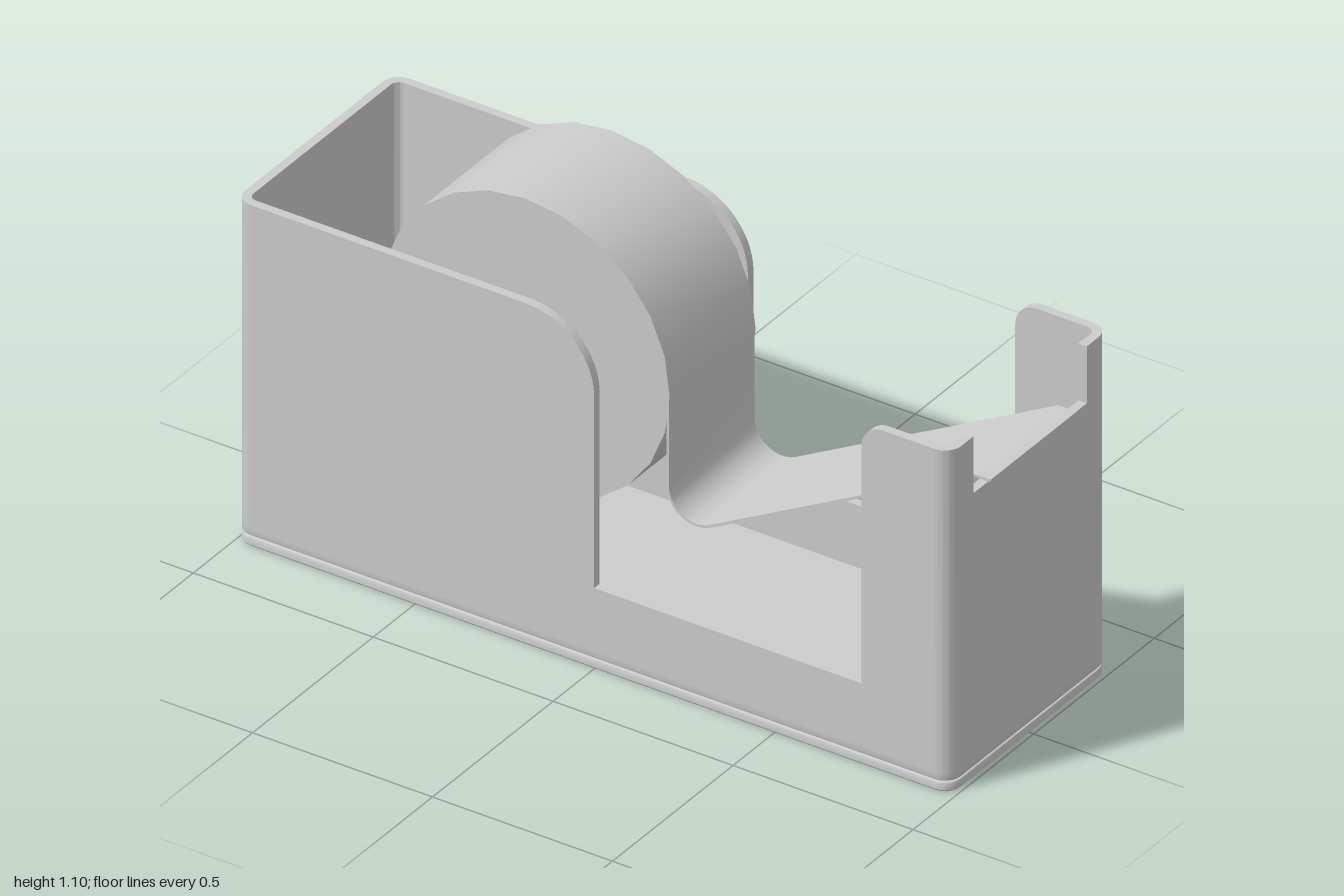
import * as THREE from 'three';
import { toCreasedNormals } from 'three/addons/utils/BufferGeometryUtils.js';

const X0 = -1, X1 = 0.99, ZH = 0.33; // body footprint
const H = 0.93, FLOOR = 0.05, T = 0.023, R = 0.045; // height, floor, wall, corner radius
const material = new THREE.MeshStandardMaterial({ color: 0xcccccc, side: THREE.DoubleSide });

function addMesh(parent, name, geometry, crease = 0.6) {
  const mesh = new THREE.Mesh(toCreasedNormals(geometry, crease), material);
  mesh.name = name;
  parent.add(mesh);
  return mesh;
}

// Solid made of stacked rounded rectangles; layers are [height, inset]
function slab(layers) {
  const steps = 6, cx = (X0 + X1) / 2, hx = (X1 - X0) / 2;
  const signs = [[1, 1], [-1, 1], [-1, -1], [1, -1]];
  const n = 4 * (steps + 1), pos = [], index = [];
  for (const [y, inset] of layers) {
    signs.forEach(([sx, sz], q) => {
      for (let i = 0; i <= steps; i++) {
        const a = (q + i / steps) * Math.PI / 2, r = R - inset;
        pos.push(cx + sx * (hx - R) + r * Math.cos(a), y, -(sz * (ZH - R) + r * Math.sin(a)));
      }
    });
  }
  const last = layers.length - 1;
  for (let k = 0; k < last; k++) {
    for (let i = 0; i < n; i++) {
      const a = k * n + i, b = k * n + (i + 1) % n;
      index.push(a, b, b + n, a, b + n, a + n);
    }
  }
  const bottom = pos.length / 3, top = bottom + 1;
  pos.push(cx, layers[0][0], 0, cx, layers[last][0], 0);
  for (let i = 0; i < n; i++) {
    const j = (i + 1) % n;
    index.push(bottom, j, i, top, last * n + i, last * n + j);
  }
  const g = new THREE.BufferGeometry();
  g.setAttribute('position', new THREE.Float32BufferAttribute(pos, 3));
  g.setIndex(index);
  return g;
}

// Side wall outline with the cut-out in front of the roll
function sideWall() {
  const s = new THREE.Shape();
  s.moveTo(X0 + R, FLOOR);
  s.lineTo(X1 - R, FLOOR);
  s.lineTo(X1 - R, H);
  s.lineTo(0.805, H);
  s.absarc(0.805, H - 0.062, 0.062, Math.PI / 2, Math.PI, false);
  s.lineTo(0.743, 0.22);
  s.lineTo(0, 0.22);
  s.lineTo(0, H - 0.19);
  s.absarc(-0.19, H - 0.19, 0.19, 0, Math.PI / 2, false);
  s.lineTo(X0 + R, H);
  return new THREE.ExtrudeGeometry(s, { depth: T, bevelEnabled: false, curveSegments: 10 });
}

// End wall with a slot in its top edge for the strip
function slottedWall() {
  const w = ZH - R, slot = 0.235, y = 0.775;
  const s = new THREE.Shape([[-w, FLOOR], [w, FLOOR], [w, H], [slot, H], [slot, y],
    [-slot, y], [-slot, H], [-w, H]].map(([a, b]) => new THREE.Vector2(a, b)));
  return new THREE.ExtrudeGeometry(s, { depth: T, bevelEnabled: false }).rotateY(Math.PI / 2);
}

// Upright quarter-round corner starting at angle a
function corner(a) {
  const s = new THREE.Shape();
  s.absarc(0, 0, R, a, a + Math.PI / 2, false);
  s.absarc(0, 0, R - T, a + Math.PI / 2, a, true);
  return new THREE.ExtrudeGeometry(s, { depth: H - FLOOR, bevelEnabled: false, curveSegments: 6 })
    .rotateX(-Math.PI / 2);
}

// Thin band following a path in the xy plane
function band(points, thickness, width) {
  const sides = [1, -1].map((sign) => points.map((p, i) => {
    const d = points[Math.min(i + 1, points.length - 1)].clone().sub(points[Math.max(i - 1, 0)]).normalize();
    return new THREE.Vector2(p.x - d.y * sign * thickness / 2, p.y + d.x * sign * thickness / 2);
  }));
  const s = new THREE.Shape([...sides[0], ...sides[1].reverse()]);
  return new THREE.ExtrudeGeometry(s, { depth: width, bevelEnabled: false }).translate(0, 0, -width / 2);
}

export function createModel() {
  const model = new THREE.Group();
  model.name = 'tapeDispenser';

  // Base plate and floor, separated by a fine groove
  addMesh(model, 'basePlate', slab([[0, 0.003], [0.004, 0], [0.018, 0], [0.023, 0.002], [0.026, 0.008]]));
  const body = new THREE.Group();
  body.name = 'body';
  model.add(body);
  addMesh(body, 'floor', slab([[0.026, 0.008], [0.029, 0.002], [0.035, 0], [FLOOR, 0]]));

  // Walls
  addMesh(body, 'frontWall', sideWall()).position.z = ZH - T;
  addMesh(body, 'backWall', sideWall()).position.z = -ZH;
  addMesh(body, 'slottedEndWall', slottedWall()).position.x = X1 - T;
  const plain = new THREE.BoxGeometry(T, H - FLOOR, 2 * (ZH - R));
  addMesh(body, 'plainEndWall', plain).position.set(X0 + T / 2, (H + FLOOR) / 2, 0);
  [[X1 - R, -1], [X0 + R, -1], [X0 + R, 1], [X1 - R, 1]].forEach(([x, s], q) => {
    addMesh(body, 'corner', corner(q * Math.PI / 2)).position.set(x, FLOOR, s * (ZH - R));
  });

  // Roll on its axle
  const roll = new THREE.CylinderGeometry(0.4, 0.4, 0.356, 24).rotateX(Math.PI / 2);
  addMesh(model, 'tapeRoll', roll).position.set(-0.292, 0.7, 0);
  const axle = new THREE.CylinderGeometry(0.11, 0.11, 2 * (ZH - T), 24).rotateX(Math.PI / 2);
  addMesh(model, 'axle', axle).position.set(-0.292, 0.7, 0);

  // Loose strip: down from the roll, round the bend and up to the slot
  const path = [new THREE.Vector2(0.102, 0.7)];
  const slope = 28.5 * Math.PI / 180;
  for (let i = 0; i <= 10; i++) {
    const a = Math.PI + (i / 10) * (Math.PI / 2 + slope);
    path.push(new THREE.Vector2(0.182 + 0.08 * Math.cos(a), 0.456 + 0.08 * Math.sin(a)));
  }
  path.push(new THREE.Vector2(0.95, 0.782), new THREE.Vector2(1, 0.782));
  addMesh(model, 'tapeStrip', band(path, 0.007, 0.356));

  return model;
}
